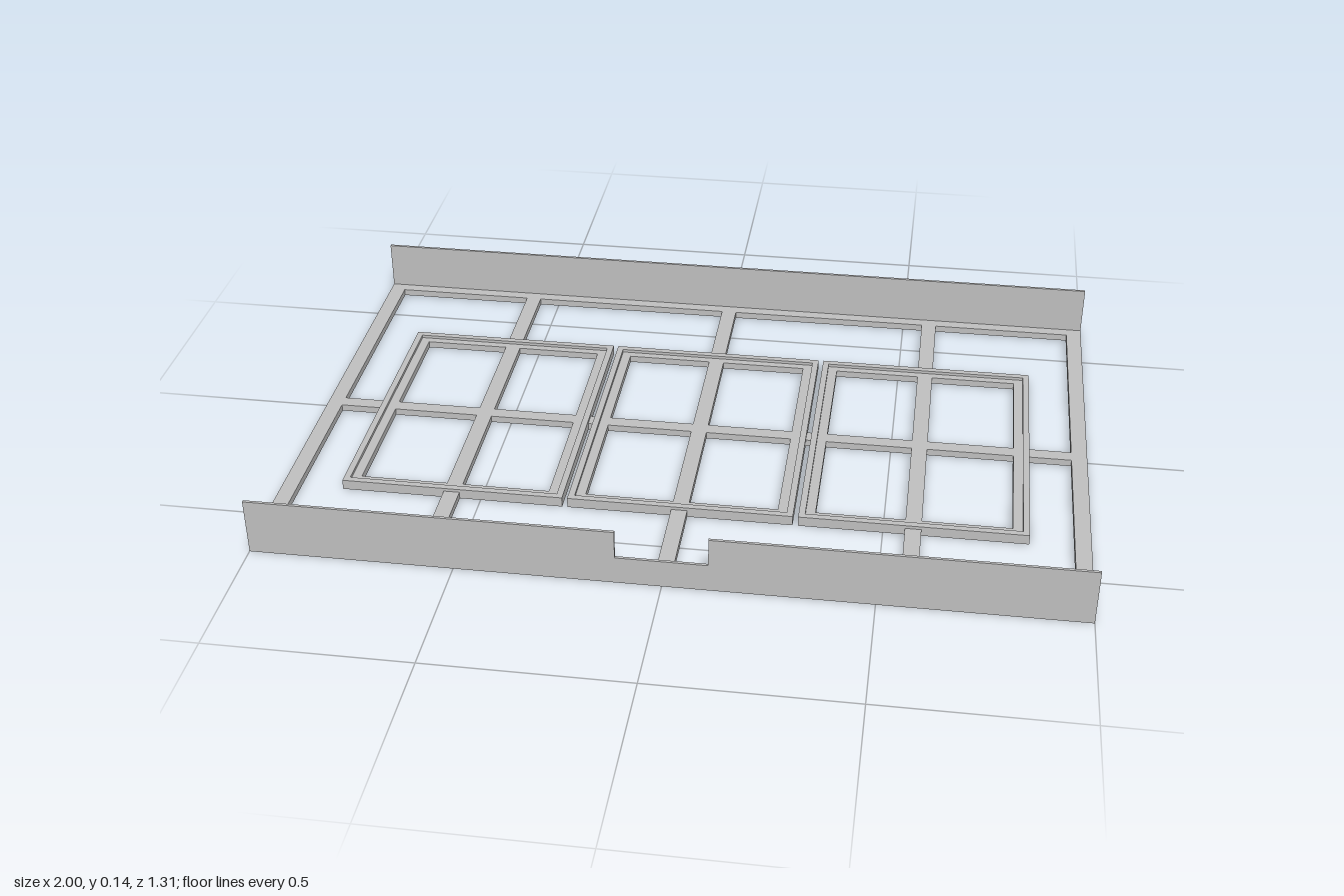
import * as THREE from 'three';

const steel = new THREE.MeshStandardMaterial({ color: 0xc0c0c0 });
steel.name = 'light grey steel';

const HX = 1, HZ = 0.653;          // half size of the rack
const BASE = 0.018, LIP = 0.026;   // top of the bars and of the locating lips
const WALL = 0.145, SHEET = 0.007;

// Extruded sheet lying flat between heights y0 and y1
function flat(name, shape, y0, y1) {
  const geo = new THREE.ExtrudeGeometry(shape, { depth: y1 - y0, bevelEnabled: false });
  geo.rotateX(-Math.PI / 2);
  const mesh = new THREE.Mesh(geo, steel);
  mesh.name = name;
  mesh.position.y = y0;
  return mesh;
}

function rectangle(Type, hx, hz) {
  const p = new Type();
  p.moveTo(-hx, -hz);
  p.lineTo(hx, -hz);
  p.lineTo(hx, hz);
  p.lineTo(-hx, hz);
  p.closePath();
  return p;
}

// Rectangular ring with separate border widths along x and z
function ring(name, hx, hz, wx, wz, y0, y1) {
  const shape = rectangle(THREE.Shape, hx, hz);
  shape.holes.push(rectangle(THREE.Path, hx - wx, hz - wz));
  return flat(name, shape, y0, y1);
}

function bar(name, w, d, x, z) {
  const mesh = new THREE.Mesh(new THREE.BoxGeometry(w, BASE, d), steel);
  mesh.name = name;
  mesh.position.set(x, BASE / 2, z);
  return mesh;
}

// Upright sheet along x, optionally with a notch in its top edge
function wall(name, z, notched) {
  const s = new THREE.Shape();
  s.moveTo(-HX, 0);
  s.lineTo(HX, 0);
  s.lineTo(HX, WALL);
  if (notched) {
    s.lineTo(0.11, WALL);
    s.lineTo(0.11, 0.072);
    s.lineTo(-0.11, 0.072);
    s.lineTo(-0.11, WALL);
  }
  s.lineTo(-HX, WALL);
  s.closePath();
  const mesh = new THREE.Mesh(
    new THREE.ExtrudeGeometry(s, { depth: SHEET, bevelEnabled: false }), steel);
  mesh.name = name;
  mesh.position.z = z;
  return mesh;
}

export function createModel() {
  const model = new THREE.Group();
  model.name = 'rackTray';

  // Outer frame and the two long walls
  model.add(ring('outerFrame', HX, HZ - 0.001, 0.04, 0.036, 0, BASE));
  model.add(wall('frontWall', HZ - SHEET, true));
  model.add(wall('backWall', -HZ, false));

  // Crossing support bars
  model.add(bar('longBar', 2 * HX - 0.08, 0.036, 0, 0));
  for (const i of [-1, 0, 1]) {
    model.add(bar('crossBar', 0.04, 2 * HZ - 0.074, i * 0.573, 0));
  }

  // Three holders: a flat ring with a raised lip around its outside
  for (const i of [-1, 0, 1]) {
    const holder = new THREE.Group();
    holder.name = 'holderFrame';
    holder.position.x = i * 0.573;
    holder.add(ring('holderBase', 0.28, 0.37, 0.04, 0.036, 0, BASE));
    holder.add(ring('holderLip', 0.28, 0.37, 0.016, 0.016, BASE, LIP));
    model.add(holder);
  }
  return model;
}
